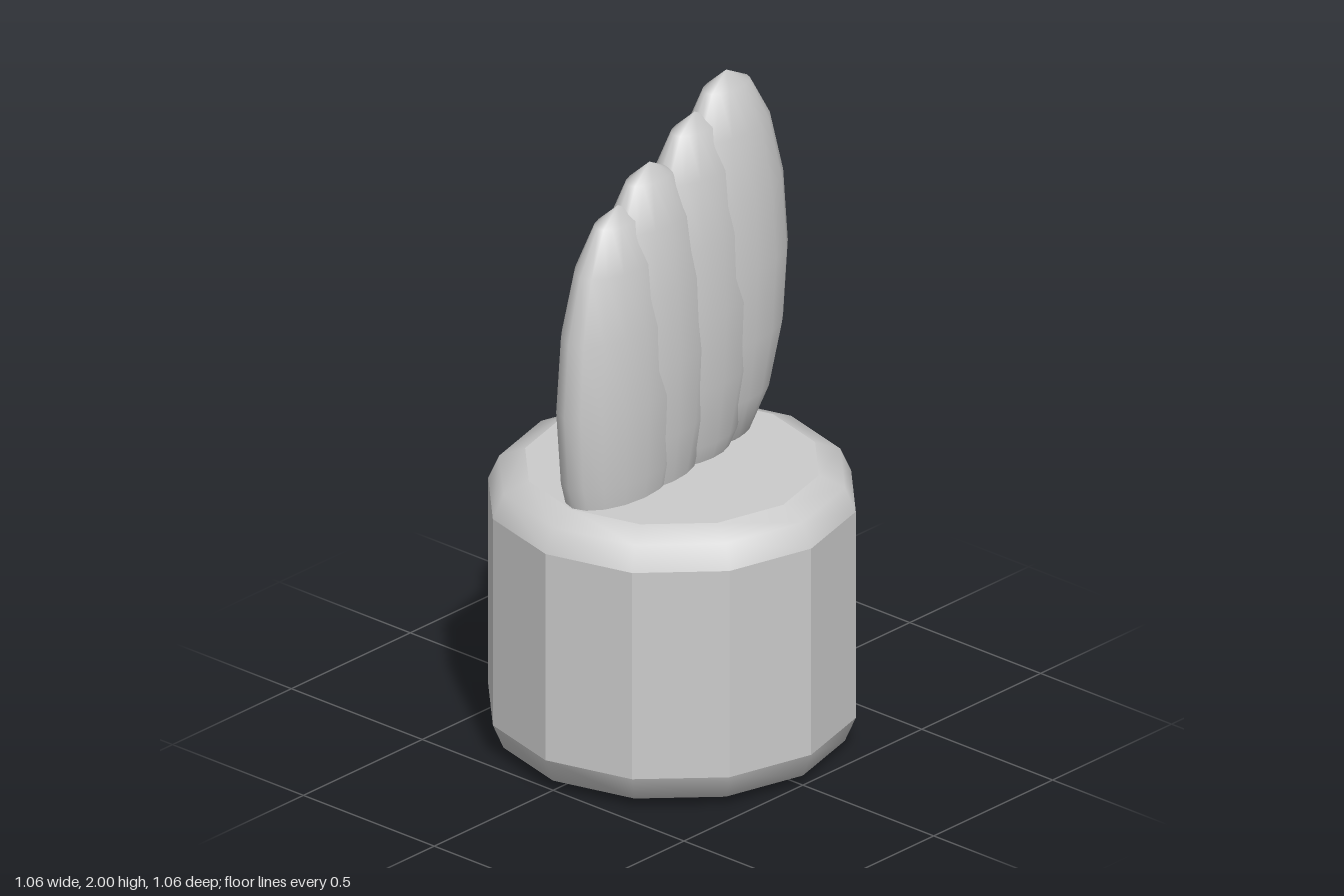
import * as THREE from 'three';

const material = new THREE.MeshStandardMaterial({ color: 0xcccccc });

export function createModel() {
  const model = new THREE.Group();

  // Twelve-sided pot: each band is its own lathe so the edges between bands stay crisp
  const pot = new THREE.Group();
  pot.name = 'pot';
  const band = (name, points, flat) => {
    let geometry = new THREE.LatheGeometry(points.map(([r, y]) => new THREE.Vector2(r, y)), 12);
    if (flat) {
      geometry = geometry.toNonIndexed();
      geometry.computeVertexNormals();
    }
    const mesh = new THREE.Mesh(geometry, material);
    mesh.name = name;
    pot.add(mesh);
  };
  band('potBase', [[0, 0], [0.425, 0]], true);
  band('potLowerBevel', [[0.425, 0], [0.5, 0.03], [0.532, 0.105]], false);
  band('potWall', [[0.532, 0.105], [0.532, 0.75]], true);
  band('potUpperBevel', [[0.532, 0.75], [0.5, 0.822], [0.425, 0.853]], false);
  band('potTop', [[0.425, 0.853], [0, 0.853]], true);
  model.add(pot);

  // Four overlapping flattened lobes, stepping up from one side to the other
  const lobeGeometry = new THREE.SphereGeometry(1, 16, 8).scale(0.225, 0.59, 0.122);
  const lobes = [[-0.228, 1.145], [-0.095, 1.235], [0.095, 1.325], [0.228, 1.41]];
  lobes.forEach(([x, y], i) => {
    const lobe = new THREE.Mesh(lobeGeometry, material);
    lobe.name = `plantLobe${i + 1}`;
    lobe.position.set(x, y, 0);
    model.add(lobe);
  });

  return model;
}
